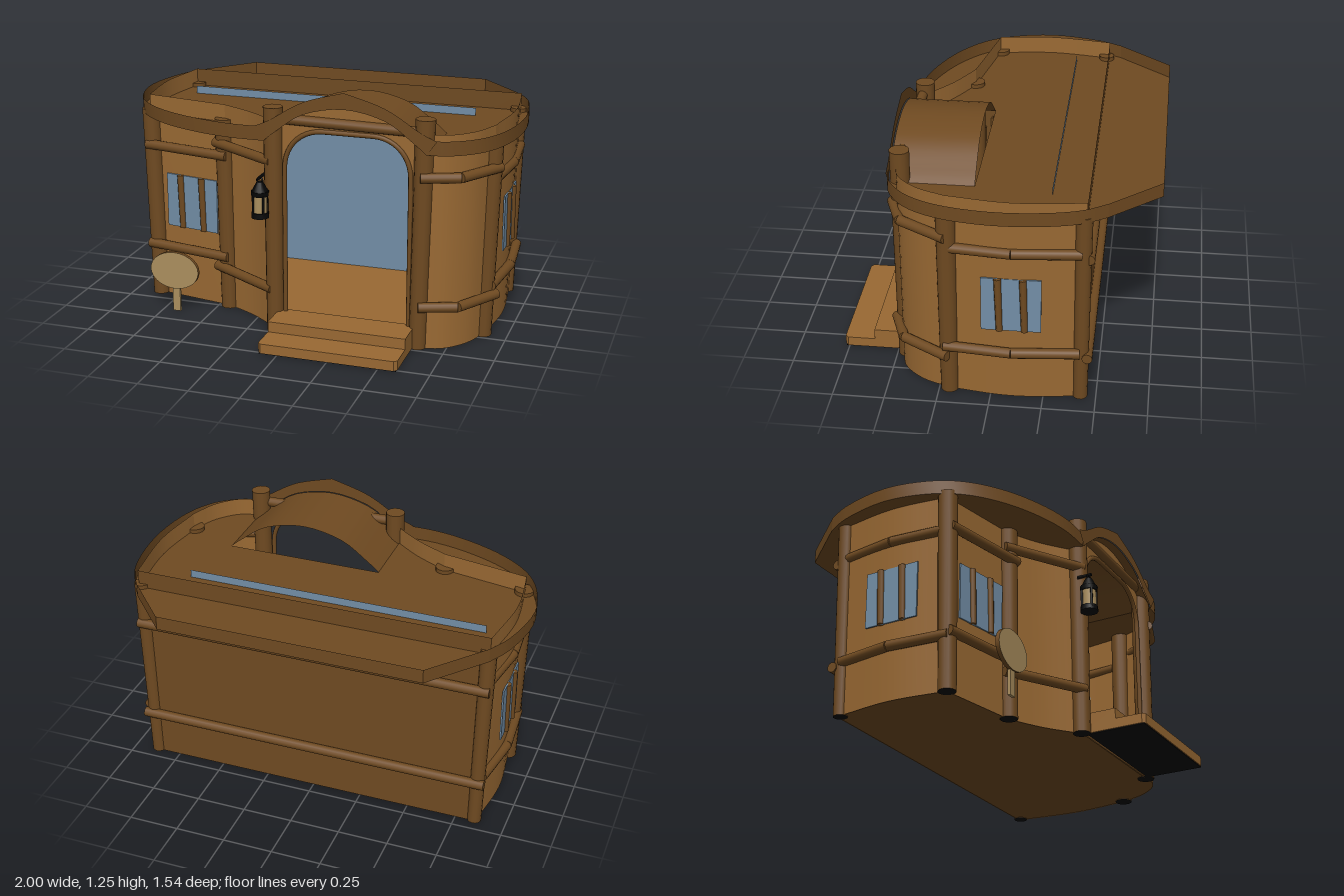
import * as THREE from 'three';

export function createModel() {
  const root = new THREE.Group();
  const mat = (name, hex, side = THREE.DoubleSide) => {
    const m = new THREE.MeshStandardMaterial({ color: hex, side });
    m.name = name;
    return m;
  };
  const plaster = mat('warm plaster', 0x996933);
  const wood = mat('dark wood', 0x6f4a21);
  const blue = mat('dusk blue', 0x728ea6);
  const tan = mat('pale wood', 0xab8f5e);
  const iron = mat('black iron', 0x060606);
  const panelFace = mat('door panel plaster', 0x996933, THREE.FrontSide);

  const add = (name, geo, material, x = 0, y = 0, z = 0) => {
    const m = new THREE.Mesh(geo, material);
    m.name = name;
    m.position.set(x, y, z);
    root.add(m);
    return m;
  };
  const box = (name, material, x0, x1, y0, y1, z0, z1) =>
    add(name, new THREE.BoxGeometry(x1 - x0, y1 - y0, z1 - z0), material,
      (x0 + x1) / 2, (y0 + y1) / 2, (z0 + z1) / 2);

  // Round log between two points
  const log = (name, a, b, r, r2 = r, material = wood) => {
    const p = new THREE.Vector3(...a), q = new THREE.Vector3(...b);
    const m = add(name, new THREE.CylinderGeometry(r2, r, p.distanceTo(q), 14), material);
    m.position.copy(p).add(q).multiplyScalar(0.5);
    m.quaternion.setFromUnitVectors(new THREE.Vector3(0, 1, 0), q.sub(p).normalize());
    return m;
  };

  // Walls lean slightly outwards with height
  const lean = (x, y) => x * (0.97 + 0.028 * y);

  // Sheet between two rows of [x, y, z] points
  const sheet = (rowA, rowB) => {
    const pos = [], idx = [];
    rowA.forEach((p, i) => {
      pos.push(...p, ...rowB[i]);
      if (i) idx.push(2 * i - 2, 2 * i, 2 * i - 1, 2 * i, 2 * i + 1, 2 * i - 1);
    });
    const g = new THREE.BufferGeometry();
    g.setAttribute('position', new THREE.Float32BufferAttribute(pos, 3));
    g.setIndex(idx);
    g.computeVertexNormals();
    return g;
  };
  const smooth = (pts, n = 12) => new THREE.CatmullRomCurve3(
    pts.map(([x, z]) => new THREE.Vector3(x, 0, z))).getPoints(n).map(p => [p.x, p.z]);
  const flat = (pts) => new THREE.ShapeGeometry(
    new THREE.Shape(pts.map(([x, z]) => new THREE.Vector2(x, -z)))).rotateX(-Math.PI / 2);

  // Walls, counted round from the left of the doorway
  const walls = {
    frontCurvedWall: smooth([[0.63, 0.47], [0.75, 0.44], [0.85, 0.34], [0.91, 0.2]]),
    leftSideWall: smooth([[0.91, 0.2], [0.945, -0.1], [0.91, -0.44]]),
    backWall: [[0.91, -0.44], [-0.88, -0.44]],
    rightSideWall: smooth([[-0.88, -0.44], [-0.92, -0.13], [-0.89, 0.16]]),
    frontWindowWall: [[-0.89, 0.16], [-0.45, 0.24]],
    porchWall: smooth([[-0.45, 0.24], [-0.28, 0.33], [-0.12, 0.45]]),
  };
  for (const [name, path] of Object.entries(walls))
    add(name, sheet(...[0, 1.07].map(y => path.map(([x, z]) => [lean(x, y), y, z]))),
      name === 'backWall' ? wood : plaster);

  // Floor, underside and inner backdrop
  const plan = Object.values(walls).flat().map(([x, z]) => [x * 0.97, z]);
  add('floor', flat(plan), plaster, 0, 0.1);
  add('underside', flat(plan), wood, 0, 0.003);
  add('innerBackdrop', new THREE.PlaneGeometry(1.52, 0.92), blue, -0.05, 0.56, -0.265);

  // Roof tray with raised rim, left open where the porch vault sits
  const rimParts = [
    smooth([[0.65, 0.5], [0.74, 0.49], [0.87, 0.4], [0.955, 0.25], [1, 0], [0.985, -0.25],
      [0.94, -0.42], [0.87, -0.53]], 28),
    [[0.87, -0.53], [0.65, -0.77]],
    [[0.65, -0.77], [-0.66, -0.77]],
    [[-0.66, -0.77], [-0.89, -0.5]],
    smooth([[-0.89, -0.5], [-0.95, -0.38], [-1, -0.12], [-0.955, 0.1], [-0.87, 0.24], [-0.72, 0.36],
      [-0.52, 0.45], [-0.33, 0.495], [-0.15, 0.5]], 32),
  ];
  for (const part of rimParts)
    add('roofRim', sheet(...[0.98, 1.05].map(y => part.map(([x, z]) => [x, y, z]))), wood);
  add('roofDeck', flat([...rimParts.flat(), [-0.15, 0.1], [0.65, 0.1]]), wood, 0, 0.98);

  // Porch vault and the arched band on its front
  const arc = (pts) => new THREE.SplineCurve(pts.map(p => new THREE.Vector2(...p))).getPoints(24);
  const lower = arc([[-0.15, 0.98], [-0.09, 1.03], [0.05, 1.125], [0.25, 1.165],
    [0.45, 1.125], [0.59, 1.03], [0.65, 0.98]]);
  const upper = [...arc([[-0.2, 1.05], [-0.12, 1.085], [0.05, 1.185], [0.25, 1.245]]),
    ...arc([[0.25, 1.245], [0.45, 1.185], [0.62, 1.085], [0.7, 1.05]])];
  add('archBand', new THREE.ShapeGeometry(new THREE.Shape([...lower, ...upper.reverse()])), wood, 0, 0, 0.505);
  add('porchVault', sheet(...[0.5, 0.1].map(z => lower.map(p => [p.x, p.y, z]))), wood);

  // Door panel with a round-cornered opening
  const panel = new THREE.Shape([new THREE.Vector2(-0.12, 0), new THREE.Vector2(0.62, 0),
    ...lower.slice(2, -2).reverse()]);
  const doorPath = (T) => {
    const p = new T();
    p.moveTo(-0.06, 0.1);
    p.lineTo(-0.06, 0.84);
    p.bezierCurveTo(-0.06, 0.96, 0.03, 1.035, 0.13, 1.035);
    p.lineTo(0.38, 1.035);
    p.bezierCurveTo(0.48, 1.035, 0.565, 0.96, 0.565, 0.84);
    p.lineTo(0.565, 0.1);
    return p;
  };
  panel.holes.push(doorPath(THREE.Path));
  add('doorPanel', new THREE.ShapeGeometry(panel, 16), panelFace, 0, 0, 0.455);
  const framePts = doorPath(THREE.Path).getPoints(12).map(p => new THREE.Vector3(p.x, p.y, 0.455));
  const frame = new THREE.CurvePath();
  framePts.slice(1).forEach((p, i) => frame.add(new THREE.LineCurve3(framePts[i], p)));
  add('doorFrame', new THREE.TubeGeometry(frame, 90, 0.012, 8), wood);
  log('doorBeam', [-0.1, 1.085, 0.46], [0.6, 1.075, 0.46], 0.025);

  // Upright posts with dark feet
  for (const [x, z, top, r] of [[-0.118, 0.452, 1.14, 0.043], [0.63, 0.452, 1.14, 0.043],
    [-0.455, 0.24, 1.0, 0.043], [-0.885, 0.16, 1.0, 0.043], [0.905, 0.2, 1.0, 0.043],
    [0.9, -0.425, 1.0, 0.035], [-0.87, -0.425, 1.0, 0.035]])
    log('post', [lean(x, 0), 0, z], [lean(x, top), top, z], r, r + 0.005, [wood, wood, iron]);

  // Horizontal rails
  for (const [upperY, lowerY, a, b] of [
    [0.815, 0.28, [-0.9, 0.19], [-0.43, 0.28]],
    [0.875, 0.22, [-0.5, 0.25], [-0.12, 0.48]],
    [0.805, 0.265, [0.915, 0.22], [0.945, -0.1]],
    [0.805, 0.265, [0.945, -0.1], [0.915, -0.42]],
    [0.805, 0.265, [-0.89, 0.18], [-0.915, -0.13]],
    [0.805, 0.265, [-0.915, -0.13], [-0.87, -0.42]],
    [0.78, 0.24, [-0.89, -0.455], [0.92, -0.455]],
    [0.865, 0.22, [0.62, 0.495], [0.8, 0.43]],
    [0.865, 0.22, [0.8, 0.43], [0.94, 0.2]],
  ]) for (const y of [upperY, lowerY])
    log('rail', [a[0], y, a[1]], [b[0], y, b[1]], 0.025);

  // Barred windows: a thin pane with two rough bars
  const barredWindow = (x, z, angle, width) => {
    const g = new THREE.Group();
    g.name = 'barredWindow';
    const pane = new THREE.Mesh(new THREE.BoxGeometry(width, 0.28, 0.008), blue);
    pane.name = 'windowPane';
    g.add(pane);
    for (const s of [-1, 1]) {
      const bar = new THREE.Mesh(new THREE.CylinderGeometry(0.018, 0.016, 0.28, 8), wood);
      bar.name = 'windowBar';
      bar.position.set(s * width * 0.21, 0, 0.003);
      bar.rotation.z = 0.03;
      g.add(bar);
    }
    g.position.set(x, 0.525, z);
    g.rotation.y = angle;
    root.add(g);
  };
  barredWindow(-0.65, 0.207, -0.18, 0.3);
  barredWindow(0.932, -0.1, Math.PI / 2, 0.28);
  barredWindow(-0.909, -0.12, -Math.PI / 2, 0.28);

  // Steps with a dark underside
  box('upperStep', plaster, -0.095, 0.595, 0.004, 0.105, 0.44, 0.62);
  const tread = new THREE.Shape([[-0.095, -0.5], [0.595, -0.5], [0.595, -0.755], [0.58, -0.77],
    [-0.08, -0.77], [-0.095, -0.755]].map(p => new THREE.Vector2(...p)).reverse());
  add('lowerStep', new THREE.ExtrudeGeometry(tread, { depth: 0.048, bevelEnabled: false })
    .rotateX(-Math.PI / 2), plaster, 0, 0.004);
  box('stepUnderside', iron, -0.09, 0.59, 0, 0.004, 0.47, 0.765);

  // Blank oval sign on a stake, with a dark edge
  box('signStake', tan, -0.695, -0.655, 0, 0.16, 0.375, 0.39);
  const sign = add('signBoard', new THREE.CylinderGeometry(0.13, 0.13, 0.02, 28),
    [wood, tan, tan], -0.68, 0.22, 0.387);
  sign.rotation.x = Math.PI / 2;
  sign.scale.z = 0.75;

  // Hanging lantern
  const lx = -0.16, lz = 0.53;
  const drum = (name, r1, r2, y0, y1, m) =>
    add(name, new THREE.CylinderGeometry(r1, r2, y1 - y0, 12), m, lx, (y0 + y1) / 2, lz);
  drum('lanternBase', 0.042, 0.044, 0.605, 0.632, iron);
  drum('lanternGlass', 0.035, 0.035, 0.63, 0.72, tan);
  drum('lanternCollar', 0.044, 0.042, 0.715, 0.738, iron);
  drum('lanternCap', 0.016, 0.04, 0.738, 0.785, iron);
  for (let i = 0; i < 4; i++) {
    const a = (i + 0.5) * Math.PI / 2;
    const x = lx + 0.037 * Math.cos(a), z = lz + 0.037 * Math.sin(a);
    log('lanternBar', [x, 0.62, z], [x, 0.72, z], 0.006, 0.006, iron);
  }
  add('lanternRing', new THREE.TorusGeometry(0.014, 0.005, 6, 14), iron, lx, 0.79, lz);
  log('lanternHook', [lx, 0.805, lz + 0.015], [lx, 0.805, 0.47], 0.008, 0.008, iron);

  return root;
}
